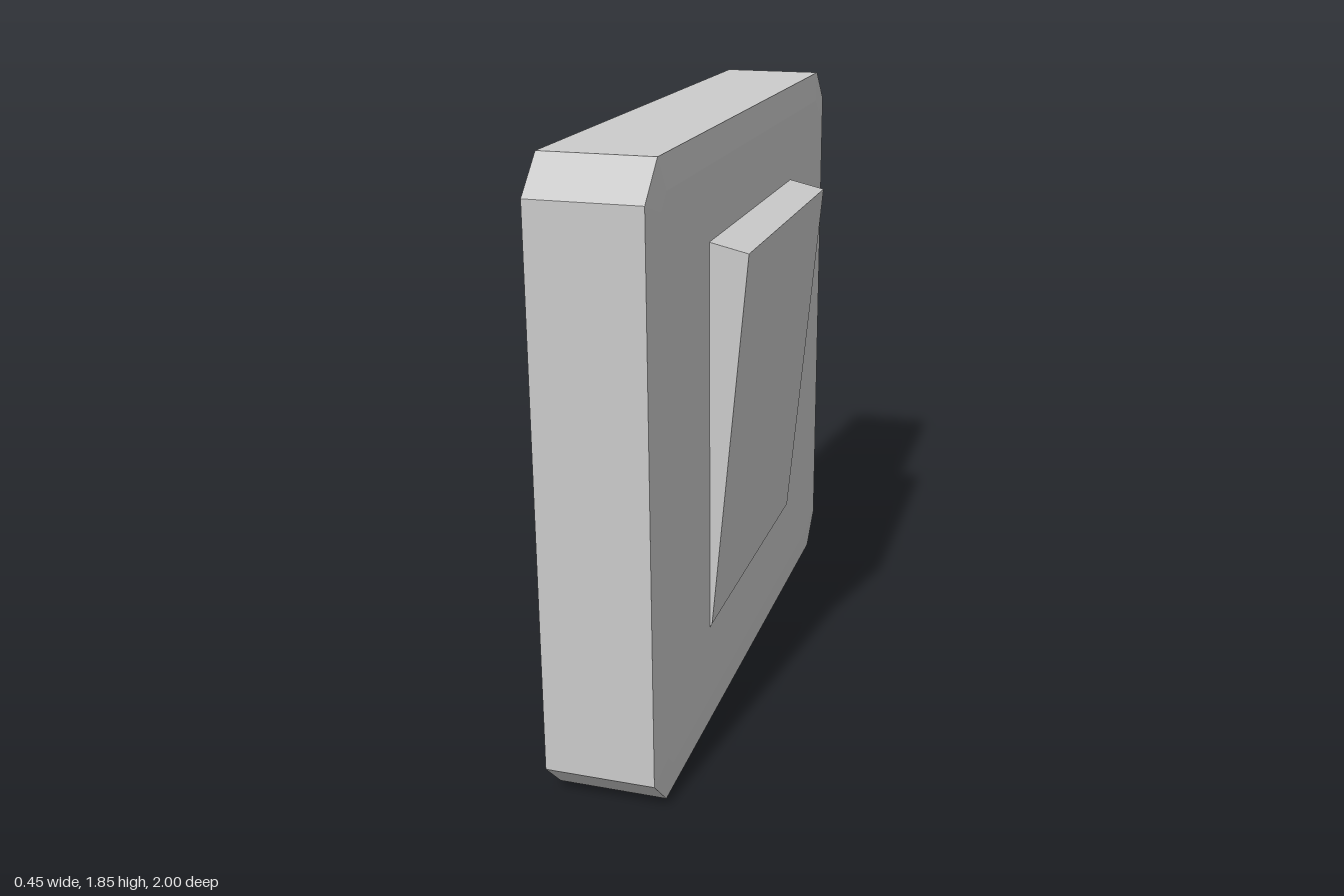
import * as THREE from 'three';

const material = new THREE.MeshStandardMaterial({ color: 0xcccccc, flatShading: true });

// Rectangle with cut corners in the zy plane, counter-clockwise seen from +x
function cutRect(x, halfWidth, y0, y1, cut) {
  const w = halfWidth;
  return [
    [-w + cut, y0], [w - cut, y0], [w, y0 + cut], [w, y1 - cut],
    [w - cut, y1], [-w + cut, y1], [-w, y1 - cut], [-w, y0 + cut],
  ].map(([u, y]) => new THREE.Vector3(x, y, -u));
}

// Skin a list of rings along +x and close both ends
function loft(rings) {
  const points = [];
  const n = rings[0].length;
  for (let r = 0; r < rings.length - 1; r++) {
    const a = rings[r], b = rings[r + 1];
    for (let i = 0; i < n; i++) {
      const j = (i + 1) % n;
      points.push(a[i], a[j], b[j], a[i], b[j], b[i]);
    }
  }
  const back = rings[0], front = rings[rings.length - 1];
  for (let i = 1; i < n - 1; i++) {
    points.push(back[0], back[i + 1], back[i], front[0], front[i], front[i + 1]);
  }
  const geometry = new THREE.BufferGeometry().setFromPoints(points);
  geometry.computeVertexNormals();
  return geometry;
}

export function createModel() {
  const model = new THREE.Group();
  model.name = 'wallSwitch';

  // Backing plate with cut corners and a shallow raised face
  const plate = new THREE.Mesh(loft([
    cutRect(-0.225, 1, 0, 1.845, 0.103),
    cutRect(0.1, 1, 0, 1.845, 0.103),
    cutRect(0.108, 0.9, 0.093, 1.752, 0.045),
  ]), material);
  plate.name = 'plate';

  // Tilted rocker, its wedge profile sunk slightly into the plate
  const profile = new THREE.Shape([
    [0.09, 0.333], [0.106, 0.335], [0.114, 0.35], [0.223, 1.511], [0.09, 1.541],
  ].map(([x, y]) => new THREE.Vector2(x, y)));
  const rockerGeometry = new THREE.ExtrudeGeometry(profile, { depth: 0.96, bevelEnabled: false });
  rockerGeometry.translate(0, 0, -0.48);
  const rocker = new THREE.Mesh(rockerGeometry, material);
  rocker.name = 'rocker';

  model.add(plate, rocker);
  return model;
}
